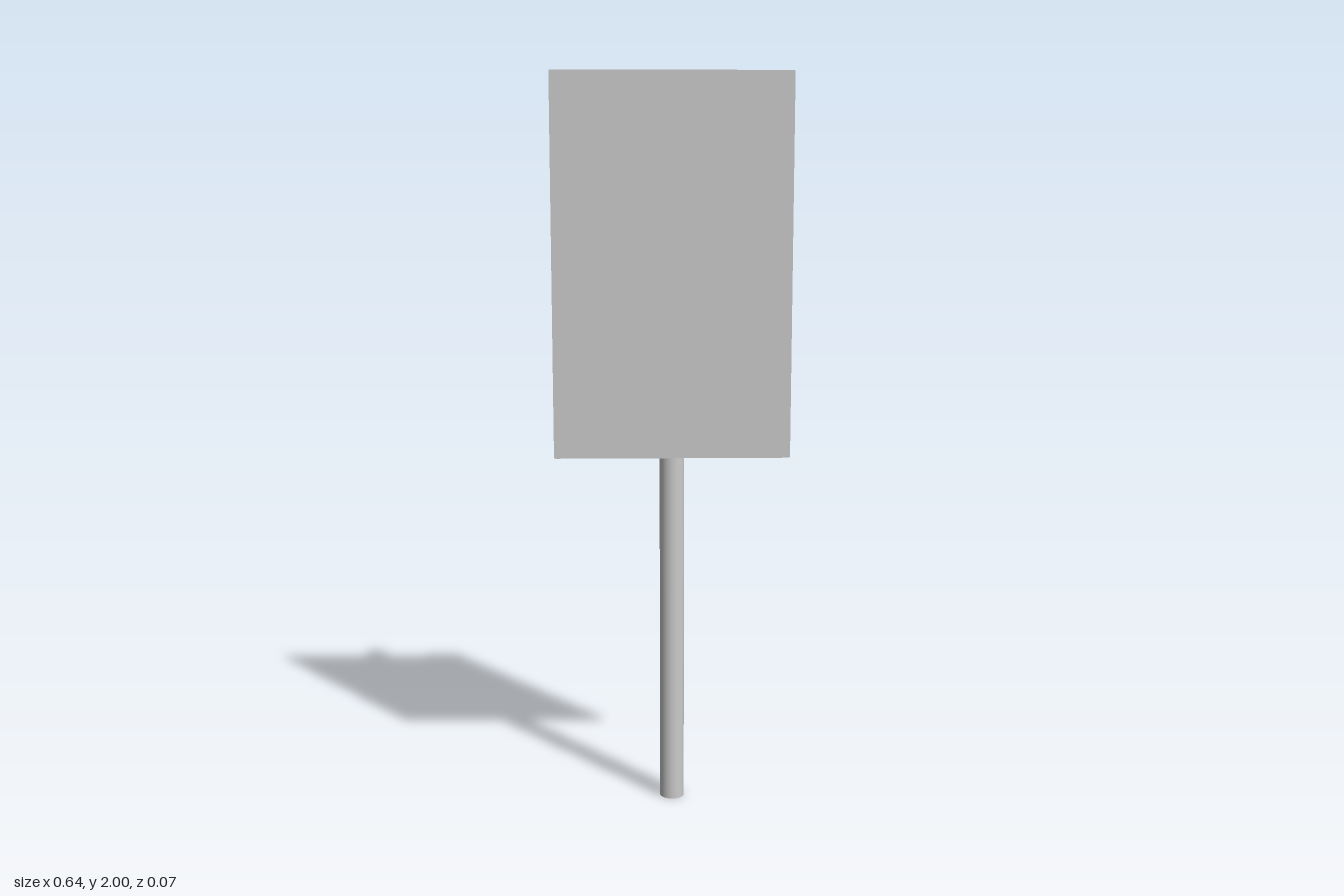
import * as THREE from 'three';
import { mergeVertices } from 'three/addons/utils/BufferGeometryUtils.js';

const material = new THREE.MeshStandardMaterial({ color: 0xcccccc });

// Rectangle with slightly rounded corners, from (-w/2, y0) to (w/2, y1)
function roundedRect(w, y0, y1, r) {
  const s = new THREE.Shape();
  const h = w / 2;
  s.absarc(h - r, y0 + r, r, -Math.PI / 2, 0);
  s.absarc(h - r, y1 - r, r, 0, Math.PI / 2);
  s.absarc(-h + r, y1 - r, r, Math.PI / 2, Math.PI);
  s.absarc(-h + r, y0 + r, r, Math.PI, Math.PI * 1.5);
  s.closePath();
  return s;
}

export function createModel() {
  const model = new THREE.Group();
  model.name = 'signpost';

  // Round post, with the caps smoothed into the side
  const postHeight = 1.99;
  let postGeometry = new THREE.CylinderGeometry(0.0335, 0.0335, postHeight, 32);
  postGeometry.deleteAttribute('normal');
  postGeometry.deleteAttribute('uv');
  postGeometry = mergeVertices(postGeometry);
  postGeometry.computeVertexNormals();
  const post = new THREE.Mesh(postGeometry, material);
  post.name = 'post';
  post.position.set(0, postHeight / 2, -0.0025);
  model.add(post);

  // Thin sign panel fixed to the front of the post
  const panelGeometry = new THREE.ExtrudeGeometry(roundedRect(0.638, 0.98, 2, 0.005), {
    depth: 0.008,
    bevelEnabled: false,
    curveSegments: 4,
  });
  const panel = new THREE.Mesh(panelGeometry, material);
  panel.name = 'signPanel';
  panel.position.z = 0.028;
  model.add(panel);

  return model;
}
